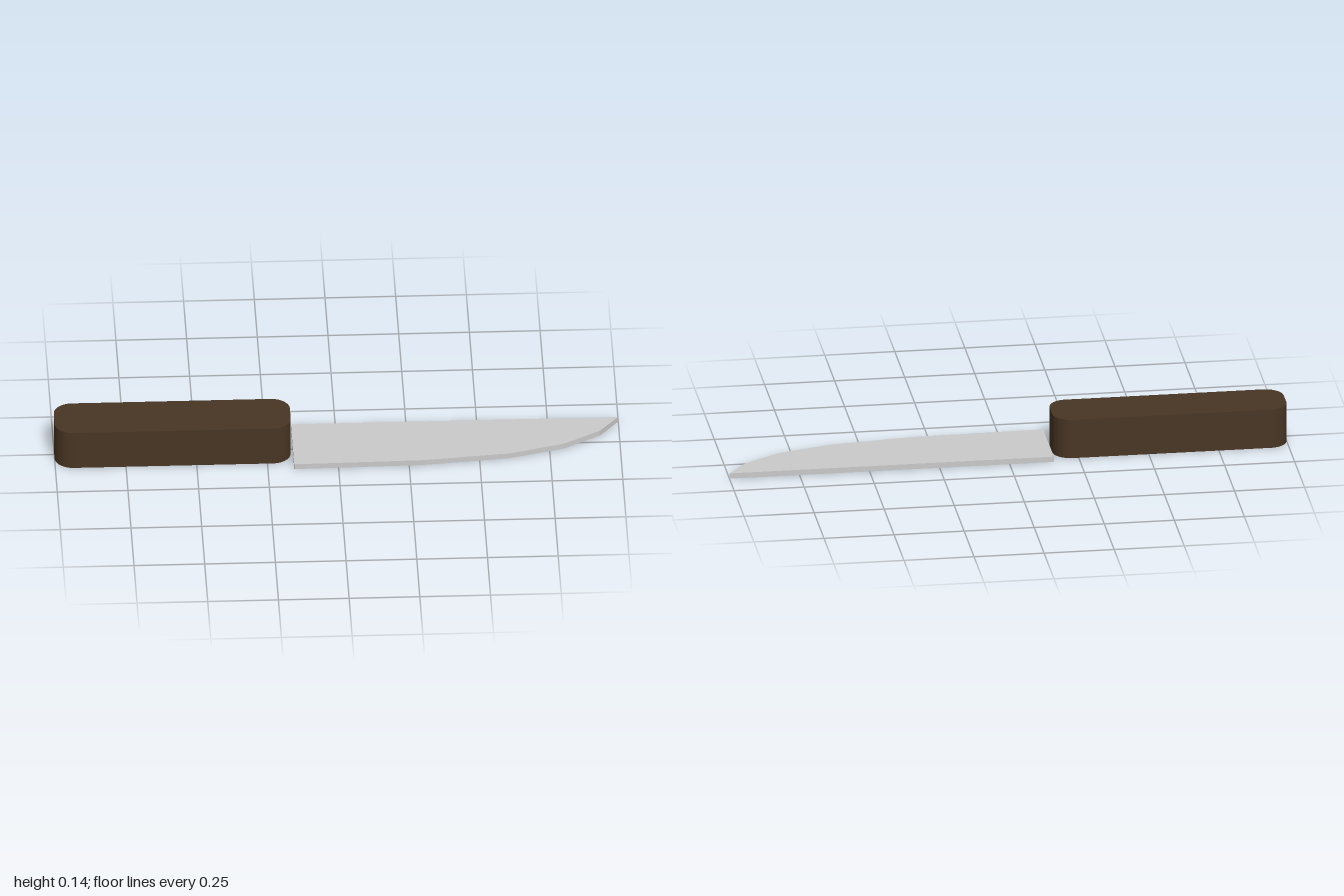
import * as THREE from 'three';

// Extrudes an outline drawn in (x, z) upward from y = 0
function slab(name, shape, height, material) {
  const geometry = new THREE.ExtrudeGeometry(shape, { depth: height, bevelEnabled: false, curveSegments: 16 });
  geometry.rotateX(Math.PI / 2);
  geometry.translate(0, height, 0);
  const mesh = new THREE.Mesh(geometry, material);
  mesh.name = name;
  return mesh;
}

function roundedRectangle(x0, x1, z0, z1, r) {
  const s = new THREE.Shape();
  s.absarc(x1 - r, z0 + r, r, -Math.PI / 2, 0);
  s.absarc(x1 - r, z1 - r, r, 0, Math.PI / 2);
  s.absarc(x0 + r, z1 - r, r, Math.PI / 2, Math.PI);
  s.absarc(x0 + r, z0 + r, r, Math.PI, Math.PI * 1.5);
  s.closePath();
  return s;
}

export function createModel() {
  const wood = new THREE.MeshStandardMaterial({ color: 0x483523 });
  wood.name = 'dark wood';
  const steel = new THREE.MeshStandardMaterial({ color: 0xcacaca });
  steel.name = 'steel';

  const model = new THREE.Group();
  model.name = 'knife';

  // Block handle with rounded vertical corners
  model.add(slab('handle', roundedRectangle(-1, -0.165, -0.106, 0.092, 0.066), 0.145, wood));

  // Thin blade: straight spine at the back, faceted cutting edge in front
  const outline = [
    [-0.157, -0.133], [1, -0.133], [0.93, -0.043], [0.8, 0.037],
    [0.605, 0.093], [0.3, 0.125], [-0.157, 0.133],
  ].map(([x, z]) => new THREE.Vector2(x, z));
  model.add(slab('blade', new THREE.Shape(outline), 0.02, steel));

  return model;
}
